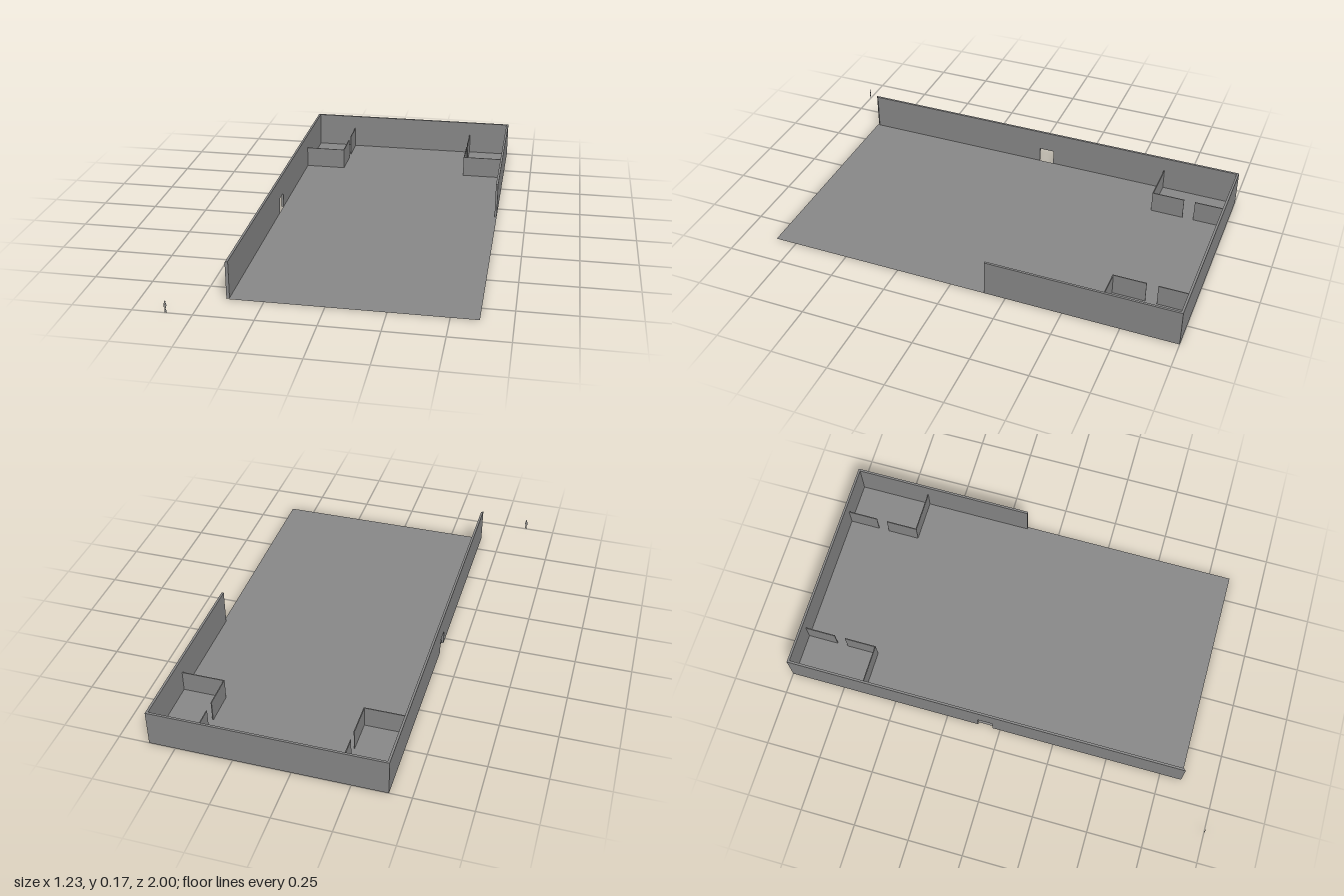
import * as THREE from 'three';

const material = new THREE.MeshStandardMaterial({ color: 0x888888, side: THREE.DoubleSide });

// Main dimensions
const X0 = -0.405, X1 = 0.616, Z0 = -1, Z1 = 0.848;
const WALL = 0.01, HEIGHT = 0.165;
const THIN = 0.004, ROOM_HEIGHT = 0.098, ROOM_FRONT = -0.652;
const DOOR = { back: -0.104, front: -0.035, top: 0.07 };

// Raises a plan outline of [x, z] corners from y0 to y1
function prism(name, plan, y0, y1) {
  const shape = new THREE.Shape(plan.map(([x, z]) => new THREE.Vector2(x, -z)));
  const geometry = new THREE.ExtrudeGeometry(shape, { depth: y1 - y0, bevelEnabled: false });
  geometry.rotateX(-Math.PI / 2).translate(0, y0, 0);
  const mesh = new THREE.Mesh(geometry, material);
  mesh.name = name;
  return mesh;
}

const rect = (xa, xb, za, zb) => [[xa, zb], [xb, zb], [xb, za], [xa, za]];

// Horizontal sheet at height y
function sheet(name, xa, xb, za, zb, y) {
  const mesh = new THREE.Mesh(new THREE.PlaneGeometry(xb - xa, zb - za), material);
  mesh.name = name;
  mesh.rotation.x = -Math.PI / 2;
  mesh.position.set((xa + xb) / 2, y, (za + zb) / 2);
  return mesh;
}

// Low room in a back corner, with a doorway gap in its side wall
function cornerRoom(name, outerX, innerX) {
  const room = new THREE.Group();
  room.name = name;
  const lo = Math.min(outerX, innerX), hi = Math.max(outerX, innerX);
  const sideEnd = innerX + Math.sign(outerX - innerX) * THIN;
  const sa = Math.min(innerX, sideEnd), sb = Math.max(innerX, sideEnd);
  const back = Z0 + WALL;
  room.add(
    sheet('roomFloor', lo, hi, back, ROOM_FRONT, 0.002),
    prism('roomFrontWall', rect(lo, hi, ROOM_FRONT - THIN, ROOM_FRONT), 0, ROOM_HEIGHT),
    prism('roomSideWallFront', rect(sa, sb, -0.8, ROOM_FRONT - THIN), 0, ROOM_HEIGHT),
    prism('roomSideWallBack', rect(sa, sb, back, -0.85), 0, ROOM_HEIGHT),
  );
  return room;
}

// Flat standing figure for scale
function scaleFigure() {
  const body = new THREE.Shape([
    [-0.004, 0], [-0.001, 0], [0, 0.022], [0.001, 0], [0.004, 0], [0.003, 0.025],
    [0.0035, 0.034], [0.006, 0.028], [0.0065, 0.032], [0.004, 0.043], [0.001, 0.045],
    [-0.002, 0.045], [-0.005, 0.042], [-0.0065, 0.025], [-0.0045, 0.025], [-0.003, 0.036],
    [-0.0035, 0.025],
  ].map(([x, y]) => new THREE.Vector2(x, y)));
  const head = new THREE.Shape().absellipse(0, 0.0495, 0.0025, 0.0045, 0, Math.PI * 2);
  const mesh = new THREE.Mesh(new THREE.ShapeGeometry([body, head], 6), material);
  mesh.name = 'scaleFigure';
  mesh.position.set(-0.6095, 0, 1);
  return mesh;
}

export function createModel() {
  const model = new THREE.Group();
  model.name = 'openHall';

  // Floor sheet, ending at the inner face of the right wall
  const xi = X0 + WALL;
  model.add(sheet('floor', xi, X1, Z0, Z1, 0));

  // Outer walls: the long right wall is split around its door and mitred at the front
  model.add(
    prism('backWall', rect(X0, X1, Z0, Z0 + WALL), 0, HEIGHT),
    prism('leftWall', rect(X1 - WALL, X1, Z0 + WALL, -0.155), 0, HEIGHT),
    prism('rightWallBack', rect(X0, xi, Z0 + WALL, DOOR.back), 0, HEIGHT),
    prism('rightWallFront', [[X0, Z1], [xi, Z1 - WALL], [xi, DOOR.front], [X0, DOOR.front]], 0, HEIGHT),
    prism('doorLintel', rect(X0, xi, DOOR.back, DOOR.front), DOOR.top, HEIGHT),
  );

  model.add(cornerRoom('rightRoom', xi, -0.203), cornerRoom('leftRoom', X1 - WALL, 0.413));
  model.add(scaleFigure());
  return model;
}
